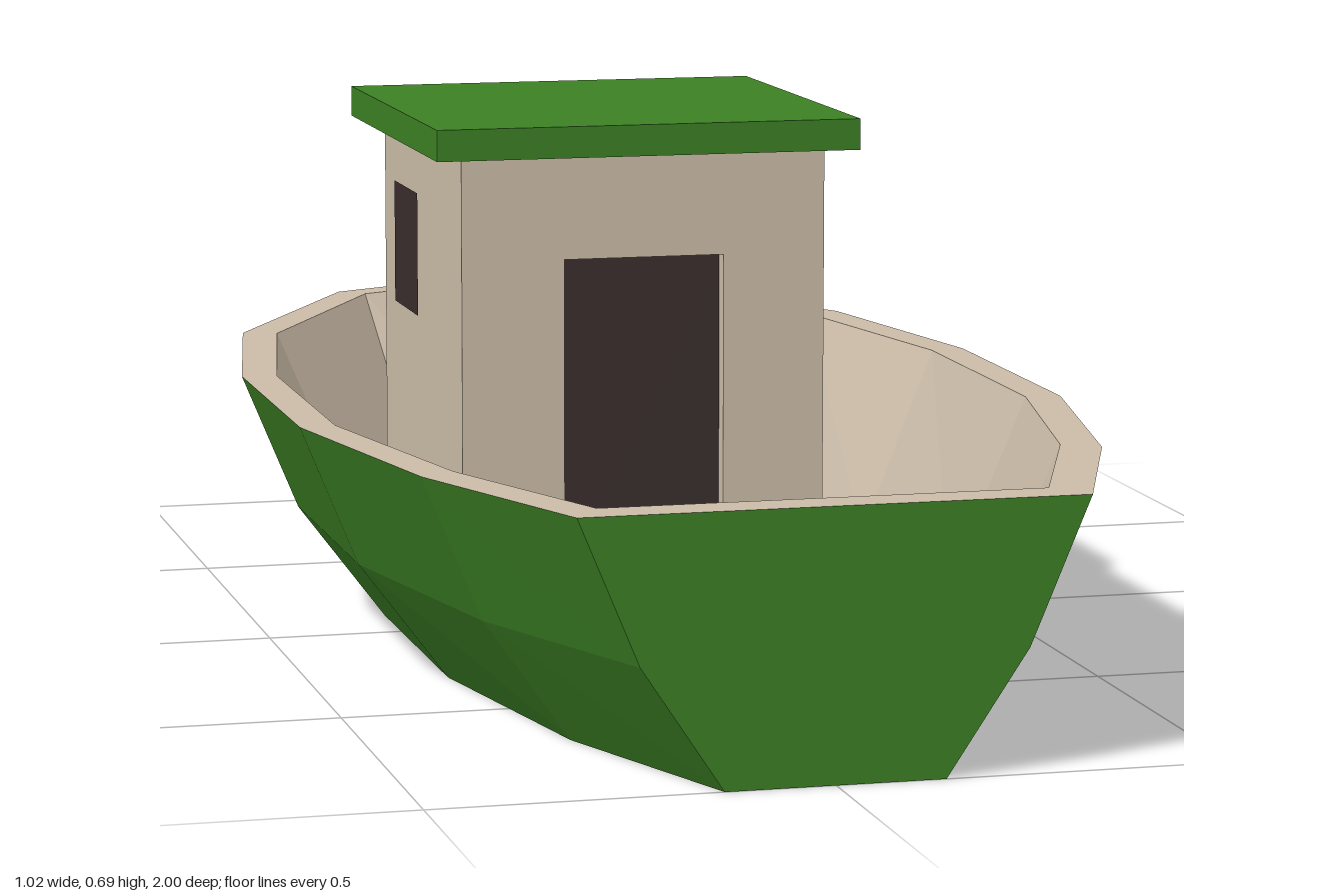
import * as THREE from 'three';

const paint = (color) => new THREE.MeshStandardMaterial({ color, flatShading: true });

// Closed, mirrored ring from half a plan outline of [x, z] running bow to stern
function ring(y, half) {
  const side = half.map(([x, z]) => [x, y, z]);
  const mirrored = half.slice(1).reverse().map(([x, z]) => [-x, y, z]);
  return [...side, ...mirrored];
}

// Flat-shaded skin through successive rings, with an optional cap on the first or last
function skin(rings, capFirst, capLast) {
  const out = [];
  const tri = (...pts) => pts.forEach((p) => out.push(...p));
  const n = rings[0].length;
  for (let k = 0; k < rings.length - 1; k++) {
    const a = rings[k], b = rings[k + 1];
    for (let i = 0; i < n; i++) {
      const j = (i + 1) % n;
      tri(a[i], b[i], b[j]);
      tri(a[i], b[j], a[j]);
    }
  }
  const first = rings[0], last = rings[rings.length - 1];
  for (let i = 1; i < n - 1; i++) {
    if (capFirst) tri(first[0], first[i], first[i + 1]);
    if (capLast) tri(last[0], last[i + 1], last[i]);
  }
  const g = new THREE.BufferGeometry();
  g.setAttribute('position', new THREE.Float32BufferAttribute(out, 3));
  g.computeVertexNormals();
  return g;
}

export function createModel() {
  const boat = new THREE.Group();
  boat.name = 'boat';
  const green = paint(0x3c8024), tan = paint(0xcbbca8), dark = paint(0x3a2d2d);

  const add = (name, geometry, material, x = 0, y = 0, z = 0, turn = 0) => {
    const mesh = new THREE.Mesh(geometry, material);
    mesh.name = name;
    mesh.position.set(x, y, z);
    mesh.rotation.y = turn;
    boat.add(mesh);
    return mesh;
  };

  // Hull sections, from the keel up to the rim and down to the deck
  const deckY = 0.085, rimY = 0.337;
  const keel = ring(0, [[0, -0.725], [0.15, -0.68], [0.255, -0.43], [0.32, -0.11], [0.32, 0.3], [0.25, 0.69], [0.137, 1]]);
  const chine = ring(0.155, [[0, -0.885], [0.195, -0.81], [0.37, -0.48], [0.437, -0.12], [0.437, 0.3], [0.36, 0.69], [0.24, 1]]);
  const rim = ring(rimY, [[0, -1], [0.23, -0.89], [0.442, -0.515], [0.512, -0.125], [0.512, 0.3], [0.435, 0.69], [0.316, 1]]);
  const innerRim = ring(rimY, [[0, -0.947], [0.195, -0.86], [0.395, -0.5], [0.465, -0.12], [0.465, 0.295], [0.39, 0.66], [0.279, 0.945]]);
  const deck = ring(deckY, [[0, -0.675], [0.155, -0.64], [0.3, -0.4], [0.355, -0.09], [0.37, 0.27], [0.307, 0.58], [0.213, 0.835]]);
  add('hull', skin([keel, chine, rim], true, false), green);
  add('rimAndDeck', skin([rim, innerRim, deck], false, true), tan);

  // Cabin: a solid block with a front wall that leaves a door recess
  const top = 0.65, back = -0.43, front = 0.075, recess = 0.025;
  const wallZ = front - recess, height = top - deckY;
  add('cabin', new THREE.BoxGeometry(0.5, height, wallZ - back), tan, 0, deckY + height / 2, (wallZ + back) / 2);
  const wall = new THREE.Shape([
    [-0.25, deckY], [-0.11, deckY], [-0.11, 0.51], [0.11, 0.51],
    [0.11, deckY], [0.25, deckY], [0.25, top], [-0.25, top],
  ].map(([x, y]) => new THREE.Vector2(x, y)));
  add('cabinFrontWall', new THREE.ExtrudeGeometry(wall, { depth: recess, bevelEnabled: false }), tan, 0, 0, wallZ);
  add('door', new THREE.PlaneGeometry(0.22, 0.51 - deckY), dark, 0, (0.51 + deckY) / 2, wallZ + 0.002);

  // One window in each side and a pair at the back
  const sidePane = new THREE.PlaneGeometry(0.155, 0.17);
  const backPane = new THREE.PlaneGeometry(0.14, 0.17);
  for (const s of [-1, 1]) {
    const label = s > 0 ? 'left' : 'right';
    add(label + 'SideWindow', sidePane, dark, s * 0.252, 0.485, -0.278, s * Math.PI / 2);
    add(label + 'BackWindow', backPane, dark, s * 0.12, 0.485, back - 0.002, Math.PI);
  }

  // Roof slab
  add('roof', new THREE.BoxGeometry(0.58, 0.042, 0.58), green, 0, 0.671, -0.18);

  return boat;
}
